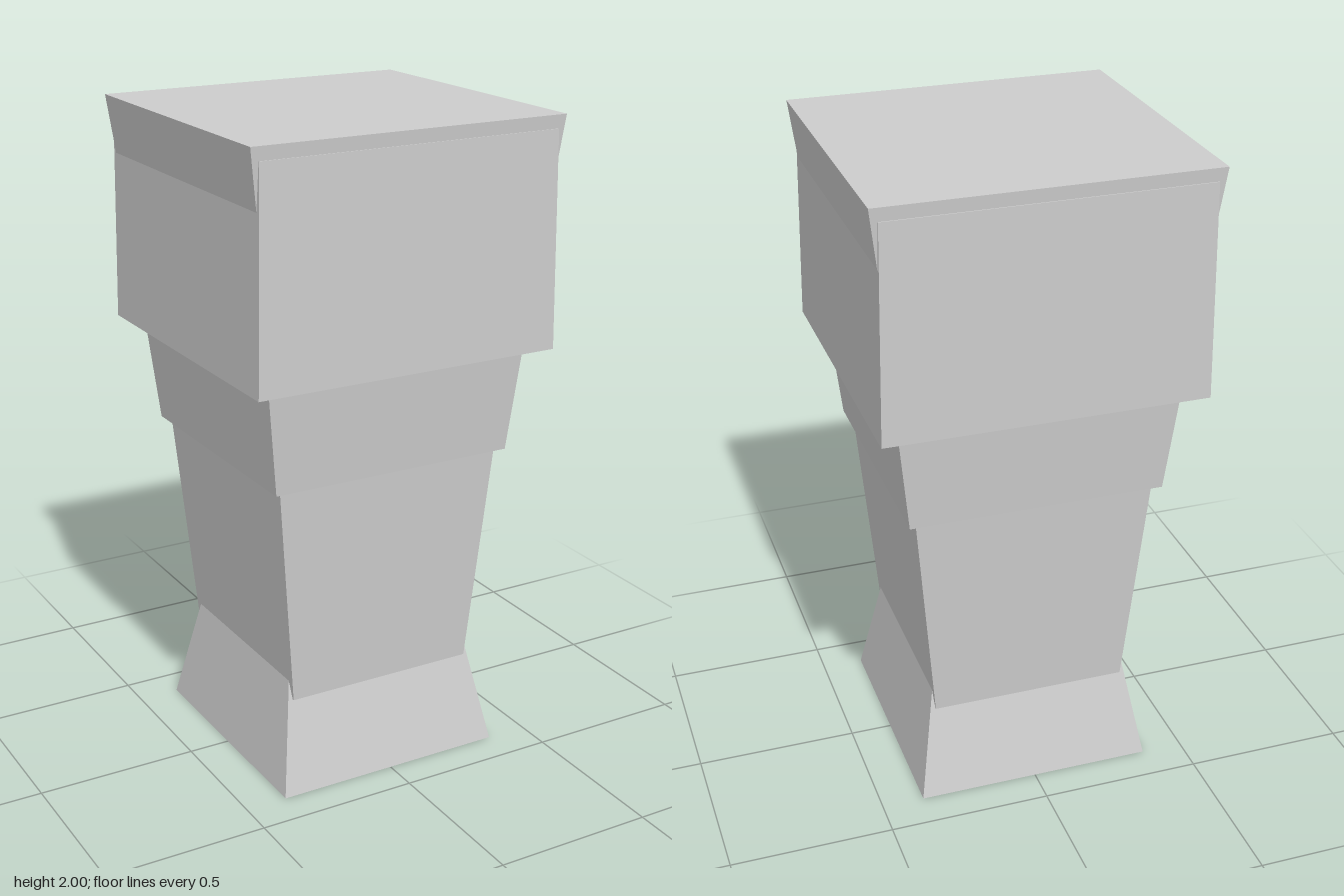
import * as THREE from 'three';

// Box whose bottom and top rectangles differ: half sizes [x, z] at heights y0 and y1
function taperedBlock(name, material, y0, [x0, z0], y1, [x1, z1]) {
  const geometry = new THREE.BoxGeometry(2, 1, 2);
  const p = geometry.attributes.position;
  for (let i = 0; i < p.count; i++) {
    const top = p.getY(i) > 0;
    p.setXYZ(i, p.getX(i) * (top ? x1 : x0), top ? y1 : y0, p.getZ(i) * (top ? z1 : z0));
  }
  geometry.computeVertexNormals();
  const mesh = new THREE.Mesh(geometry, material);
  mesh.name = name;
  return mesh;
}

export function createModel() {
  const stone = new THREE.MeshStandardMaterial({ color: 0xcccccc });
  stone.name = 'light grey';

  const group = new THREE.Group();
  group.name = 'taperedPillar';
  group.add(
    // Flared foot, its top sunk into the shaft
    taperedBlock('foot', stone, 0, [0.37, 0.39], 0.4, [0.3, 0.29]),
    // Shaft widening upwards
    taperedBlock('shaft', stone, 0.285, [0.305, 0.325], 1.05, [0.372, 0.37]),
    // Stepped collar
    taperedBlock('collar', stone, 0.985, [0.39, 0.39], 1.36, [0.43, 0.42]),
    // Head block
    taperedBlock('head', stone, 1.31, [0.487, 0.479], 1.96, [0.475, 0.477]),
    // Flared cap, rising out of the head
    taperedBlock('cap', stone, 1.78, [0.472, 0.459], 2, [0.5, 0.477])
  );
  return group;
}
